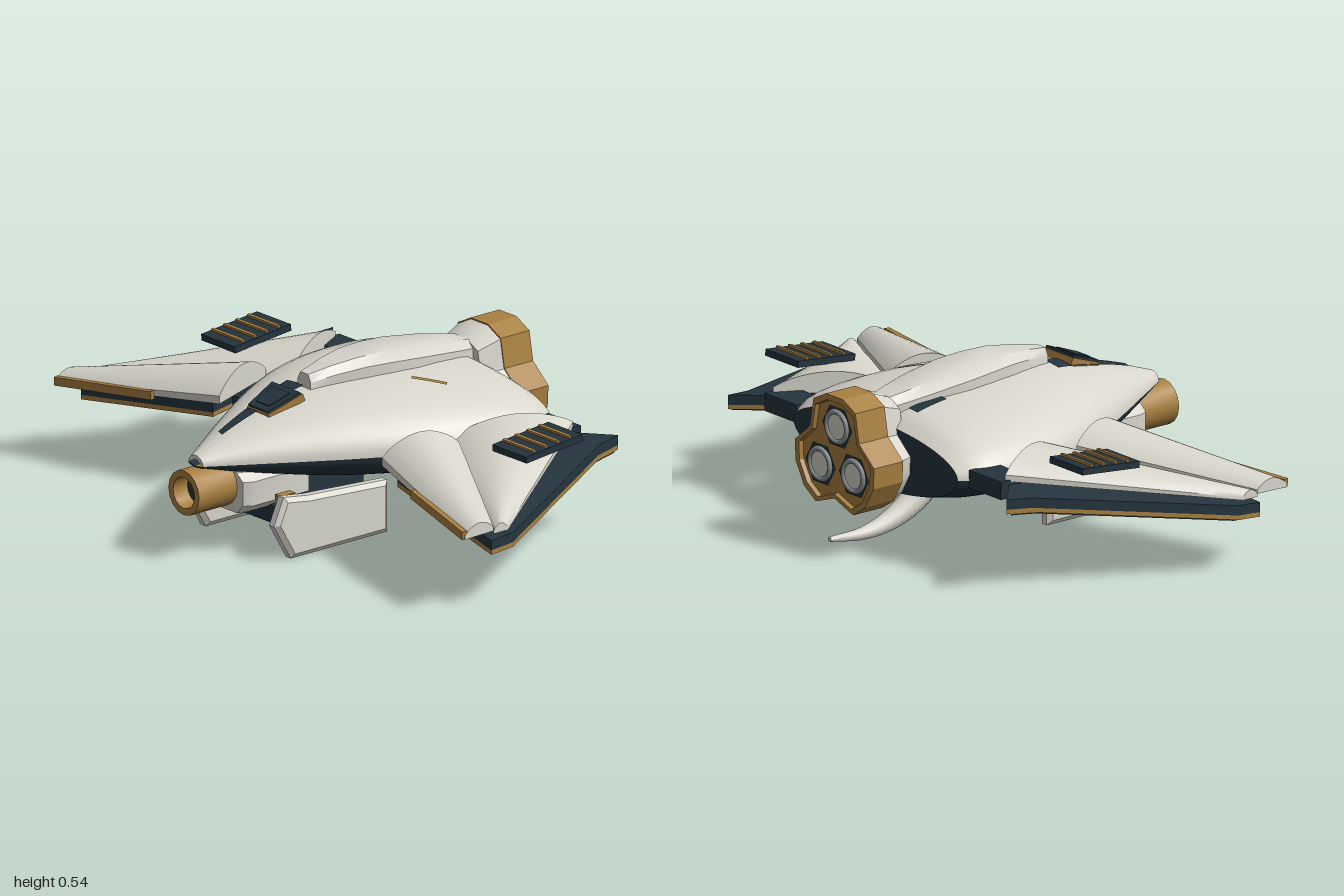
import * as THREE from 'three';
import { toCreasedNormals } from 'three/addons/utils/BufferGeometryUtils.js';

const V = (x, y, z) => new THREE.Vector3(x, y, z);
const paint = (name, color) => new THREE.MeshStandardMaterial({ name, color, side: THREE.DoubleSide });
const ivory = paint('ivory', 0xd8d6cc);
const navy = paint('darkNavy', 0x24343e);
const bronze = paint('bronze', 0xa98040);
const steel = paint('steel', 0x8d9496);

function add(parent, name, geometry, material, x = 0, y = 0, z = 0) {
  const mesh = new THREE.Mesh(geometry, material);
  mesh.name = name;
  mesh.position.set(x, y, z);
  parent.add(mesh);
  return mesh;
}

// Skin over rows of points; columns run counter-clockwise around the row direction
function loft(rows, { closed = true, capStart = closed, capEnd = closed, crease = 0.6 } = {}) {
  const centre = row => {
    const c = row.reduce((s, p) => s.add(p), V(0, 0, 0)).divideScalar(row.length);
    return row.map(() => c);
  };
  const all = [...rows];
  if (capStart) all.unshift(centre(rows[0]));
  if (capEnd) all.push(centre(rows[rows.length - 1]));
  const n = rows[0].length, index = [];
  for (let i = 0; i < all.length - 1; i++) {
    for (let j = 0; j < (closed ? n : n - 1); j++) {
      const k = (j + 1) % n, a = i * n + j, b = i * n + k;
      index.push(a, b, a + n, b, b + n, a + n);
    }
  }
  const g = new THREE.BufferGeometry().setFromPoints(all.flat());
  g.setIndex(index);
  return toCreasedNormals(g, crease);
}

// Rectangular bar between two points
function bar(parent, name, p, q, w, h, material) {
  const m = add(parent, name, new THREE.BoxGeometry(w, h, p.distanceTo(q)), material);
  m.position.copy(p).lerp(q, 0.5);
  m.lookAt(q);
  return m;
}

// Hull stations along z: half width, top, bottom
const hullZ = [-0.5, -0.45, -0.4, -0.2, 0, 0.2, 0.4, 0.5, 0.6, 0.64];
const hull = new THREE.CubicInterpolant(hullZ, [
  0.41, 0.41, 0.19, 0.445, 0.445, 0.182, 0.462, 0.46, 0.175, 0.456, 0.482, 0.166, 0.405, 0.485, 0.178,
  0.305, 0.465, 0.2, 0.185, 0.42, 0.24, 0.122, 0.39, 0.262, 0.06, 0.354, 0.29, 0.035, 0.34, 0.3], 3);
const MID = 0.31;
function hullRow(z, from, to) {
  const [w, top, bottom] = hull.evaluate(z);
  return Array.from({ length: 25 }, (_, j) => {
    const t = from + (to - from) * j / 24, s = Math.sin(t);
    return V(w * Math.cos(t), MID + s * (s > 0 ? top - MID : MID - bottom), z);
  });
}
function hullTop(x, z) {
  const [w, top] = hull.evaluate(z);
  return MID + (top - MID) * Math.sqrt(Math.max(0, 1 - (x / w) ** 2));
}

// Painted patch following the upper hull, corners given as [x, z]
function decal(parent, name, [a, b, c, d], material) {
  const mix = (p, q, t) => [p[0] + (q[0] - p[0]) * t, p[1] + (q[1] - p[1]) * t];
  const rows = [];
  for (let i = 0; i <= 10; i++) {
    rows.push([]);
    for (let j = 0; j <= 4; j++) {
      const [x, z] = mix(mix(a, b, j / 4), mix(d, c, j / 4), i / 10);
      rows[i].push(V(x, hullTop(x, z) + 0.005, z));
    }
  }
  add(parent, name, loft(rows, { closed: false }), material);
}

function buildBody(g) {
  const zs = Array.from({ length: 39 }, (_, i) => -0.5 + 1.14 * i / 38);
  add(g, 'upperHull', loft(zs.map(z => hullRow(z, 0, Math.PI)), { closed: false, capEnd: true }), ivory);
  add(g, 'lowerHull', loft(zs.map(z => hullRow(z, Math.PI, 2 * Math.PI)), { closed: false, capEnd: true }), navy);
  const rim = [...hullRow(-0.5, 0, Math.PI), ...hullRow(-0.5, Math.PI, 2 * Math.PI)];
  add(g, 'rearBulkhead', loft([rim], { capEnd: false }), navy);

  // Raised spine with chamfered top
  const spine = [[-0.49, 0.055, 0.487], [-0.42, 0.077, 0.5], [-0.35, 0.095, 0.513], [-0.2, 0.113, 0.533],
    [-0.1, 0.107, 0.54], [0, 0.09, 0.541], [0.1, 0.06, 0.53], [0.185, 0.032, 0.515]];
  add(g, 'spine', loft(spine.map(([z, w, t]) => [[1, 0.42], [1, t - 0.025], [0.6, t], [-0.6, t], [-1, t - 0.025], [-1, 0.42]]
    .map(([s, y]) => V(s * w, y, z)))), ivory);

  decal(g, 'noseStripe', [[-0.09, 0.18], [-0.005, 0.18], [0, 0.53], [-0.03, 0.52]], navy);
  decal(g, 'spineMark', [[-0.125, -0.43], [-0.08, -0.43], [-0.09, -0.31], [-0.125, -0.31]], navy);
  decal(g, 'diagonalMark', [[0.165, -0.125], [0.245, -0.205], [0.257, -0.193], [0.177, -0.113]], bronze);

  // Sloped sensor window in a bronze frame
  const sensor = new THREE.Group();
  sensor.name = 'sensorWindow';
  sensor.position.set(0, 0.45, 0.315);
  sensor.rotation.x = 0.36;
  const trapezoid = (k, y) => [[-0.052, 0.068], [0.052, 0.068], [0.074, -0.068], [-0.074, -0.068]].map(([x, z]) => V(x * k, y, z * k));
  add(sensor, 'windowFrame', loft([trapezoid(1, -0.02), trapezoid(1, 0.006)]), bronze);
  add(sensor, 'windowPane', loft([trapezoid(0.93, 0.006), trapezoid(0.93, 0.014)]), navy);
  add(sensor, 'windowInset', loft([trapezoid(0.6, 0.014), trapezoid(0.6, 0.018)]), navy);
  g.add(sensor);
}

function buildCannon(g) {
  const barrel = new THREE.LatheGeometry([[0.075, -0.2], [0.075, 0], [0.052, 0], [0.052, -0.08]]
    .map(([r, y]) => new THREE.Vector2(r, y)), 16);
  add(g, 'cannonBarrel', toCreasedNormals(barrel, 0.5), bronze, 0, 0.225, 0.69).rotation.x = Math.PI / 2;
  add(g, 'cannonBore', new THREE.CircleGeometry(0.053, 16), navy, 0, 0.225, 0.63);
  const outline = [[0.12, 0.17], [0.12, 0.25], [0.085, 0.275], [-0.085, 0.275], [-0.12, 0.25], [-0.12, 0.17], [-0.085, 0.14], [0.085, 0.14]];
  add(g, 'cannonHousing', loft([0.27, 0.5, 0.53].map((z, i) =>
    outline.map(([x, y]) => V(x * (i > 1 ? 0.85 : 1), y, z)))), ivory);
  add(g, 'keelBox', new THREE.BoxGeometry(0.36, 0.06, 0.36), navy, 0, 0.118, 0.23);
  add(g, 'keelMount', new THREE.BoxGeometry(0.24, 0.1, 0.32), navy, 0, 0.18, 0.2);
}

// Three-lobed outline of the engine block
function trefoil(z, k) {
  const pts = [];
  for (let lobe = 0; lobe < 3; lobe++) {
    for (const [deg, r] of [[-60, 0.142], [-32, 0.198], [-12, 0.204], [12, 0.204], [32, 0.198]]) {
      const a = (90 + lobe * 120 + deg) * Math.PI / 180;
      pts.push(V(k * r * Math.cos(a), 0.325 + k * r * Math.sin(a), z));
    }
  }
  return pts;
}

function buildEngine(g) {
  add(g, 'engineCollar', loft([trefoil(-0.551, 0.98), trefoil(-0.47, 0.82)]), ivory);
  add(g, 'engineBlock', loft([trefoil(-0.655, 0.88), trefoil(-0.67, 0.9), trefoil(-0.67, 1), trefoil(-0.55, 1)], { crease: 0.4 }), bronze);
  for (let i = 0; i < 3; i++) {
    const a = Math.PI / 2 + i * Math.PI * 2 / 3, x = 0.096 * Math.cos(a), y = 0.325 + 0.096 * Math.sin(a);
    const disc = (name, r, z, m, sides) => { add(g, name, new THREE.CircleGeometry(r, sides), m, x, y, z).rotation.y = Math.PI; };
    disc('nozzleSeat', 0.075, -0.658, navy, 6);
    add(g, 'nozzleRim', new THREE.TorusGeometry(0.05, 0.009, 8, 24), steel, x, y, -0.66);
    disc('nozzleCore', 0.043, -0.662, ivory, 24);
  }

  // Curved tail hook under the engine
  const path = new THREE.CatmullRomCurve3([V(0, 0.21, -0.26), V(0, 0.125, -0.33), V(0, 0.068, -0.43), V(0, 0.043, -0.54), V(0, 0.05, -0.69)]);
  const rows = [];
  for (let i = 0; i <= 16; i++) {
    const t = i / 16, p = path.getPoint(t), u = V(1, 0, 0), v = path.getTangent(t).cross(u);
    const r = 0.008 + 0.05 * (1 - t) ** 0.9;
    rows.push(Array.from({ length: 12 }, (_, j) => {
      const a = j * Math.PI / 6;
      return p.clone().addScaledVector(u, r * Math.cos(a)).addScaledVector(v, r * Math.sin(a));
    }));
  }
  add(g, 'tailHook', loft(rows), ivory);
}

// Arched wing panel from a root chord to a tip chord, each from rear to front
function panel(rootA, rootB, tipA, tipB, rootH, tipH) {
  const rows = [];
  for (let i = 0; i <= 8; i++) {
    const s = i / 8, a = rootA.clone().lerp(tipA, s), b = rootB.clone().lerp(tipB, s), h = rootH + (tipH - rootH) * s;
    const row = [];
    for (let j = 0; j <= 12; j++) {
      const p = a.clone().lerp(b, j / 12);
      p.y += h * (0.3 + 0.7 * Math.sin(Math.PI * j / 12) ** 0.8);
      row.push(p);
    }
    rows.push([...row, b, a]);
  }
  return loft(rows);
}

// Flat plate lying on the lower wing's tilted plane
function wingPlate(y0, y1, k) {
  const outline = [[0.55, -0.4], [0.45, 0.18], [1, 0.26], [1, 0.17], [0.71, -0.44], [0.695, -0.535]];
  return loft([y0, y1].map(dy => outline.map(([x0, z0]) => {
    const x = 0.74 + (x0 - 0.74) * k, z = -0.1 + (z0 + 0.1) * k;
    return V(x, 0.182 + 0.11 * (1 - x) - 0.079 * (z - 0.25) + dy, z);
  })));
}

function buildSide(g) {
  // Upper wing panels
  add(g, 'frontWingPanel', panel(V(0.47, 0.325, -0.06), V(0.396, 0.31, 0.2), V(1, 0.26, 0.25), V(1, 0.257, 0.37), 0.088, 0.042), ivory);
  add(g, 'rearWingPanel', panel(V(0.58, 0.34, -0.445), V(0.396, 0.32, -0.1), V(1, 0.25, 0.19), V(1, 0.25, 0.25), 0.072, 0.03), ivory);
  bar(g, 'leadingEdgeTrim', V(0.635, 0.294, 0.275), V(0.997, 0.27, 0.37), 0.018, 0.028, bronze);

  // Lower wing
  add(g, 'lowerWing', wingPlate(0.015, 0.048, 1), navy);
  add(g, 'lowerWingTrim', wingPlate(0, 0.015, 1), bronze);
  add(g, 'lowerWingUnderside', wingPlate(-0.005, 0, 0.96), navy);

  // Vent grille
  const grille = new THREE.Group();
  grille.name = 'ventGrille';
  grille.position.set(0.71, 0.383, -0.183);
  grille.rotation.x = 0.1;
  add(grille, 'grillePlate', new THREE.BoxGeometry(0.165, 0.022, 0.236), navy);
  for (let i = 0; i < 4; i++) add(grille, 'grilleBar', new THREE.BoxGeometry(0.15, 0.012, 0.012), bronze, 0, 0.013, -0.075 + i * 0.05);
  g.add(grille);

  // Wing mounts
  add(g, 'wingArm', new THREE.BoxGeometry(0.16, 0.06, 0.11), navy, 0.51, 0.315, -0.415);
  add(g, 'wingHinge', new THREE.CylinderGeometry(0.028, 0.028, 0.035, 12), bronze, 0.447, 0.316, -0.415).rotation.z = Math.PI / 2;
  bar(g, 'wingStrut', V(0.34, 0.275, 0.04), V(0.5, 0.28, 0.075), 0.03, 0.03, navy);

  // Landing fin
  const shape = new THREE.Shape([[0.5, 0.125], [0.43, 0.003], [0.025, 0.003], [0.025, 0.178], [0.36, 0.2], [0.46, 0.215]]
    .map(p => new THREE.Vector2(...p)));
  const fin = new THREE.ExtrudeGeometry(shape, { depth: 0.024, bevelSize: 0.016, bevelOffset: -0.016, bevelThickness: 0.012, bevelSegments: 1 });
  add(g, 'landingFin', fin, ivory, 0.219, 0, 0).rotation.y = -Math.PI / 2;
  bar(g, 'finPin', V(0.17, 0.195, 0.38), V(0.17, 0.195, 0.44), 0.03, 0.02, bronze);
}

export function createModel() {
  const model = new THREE.Group();
  model.name = 'spacecraft';
  buildBody(model);
  buildCannon(model);
  buildEngine(model);
  for (const s of [1, -1]) {
    const side = new THREE.Group();
    side.name = s > 0 ? 'leftSide' : 'rightSide';
    buildSide(side);
    side.scale.x = s;
    model.add(side);
  }
  return model;
}
